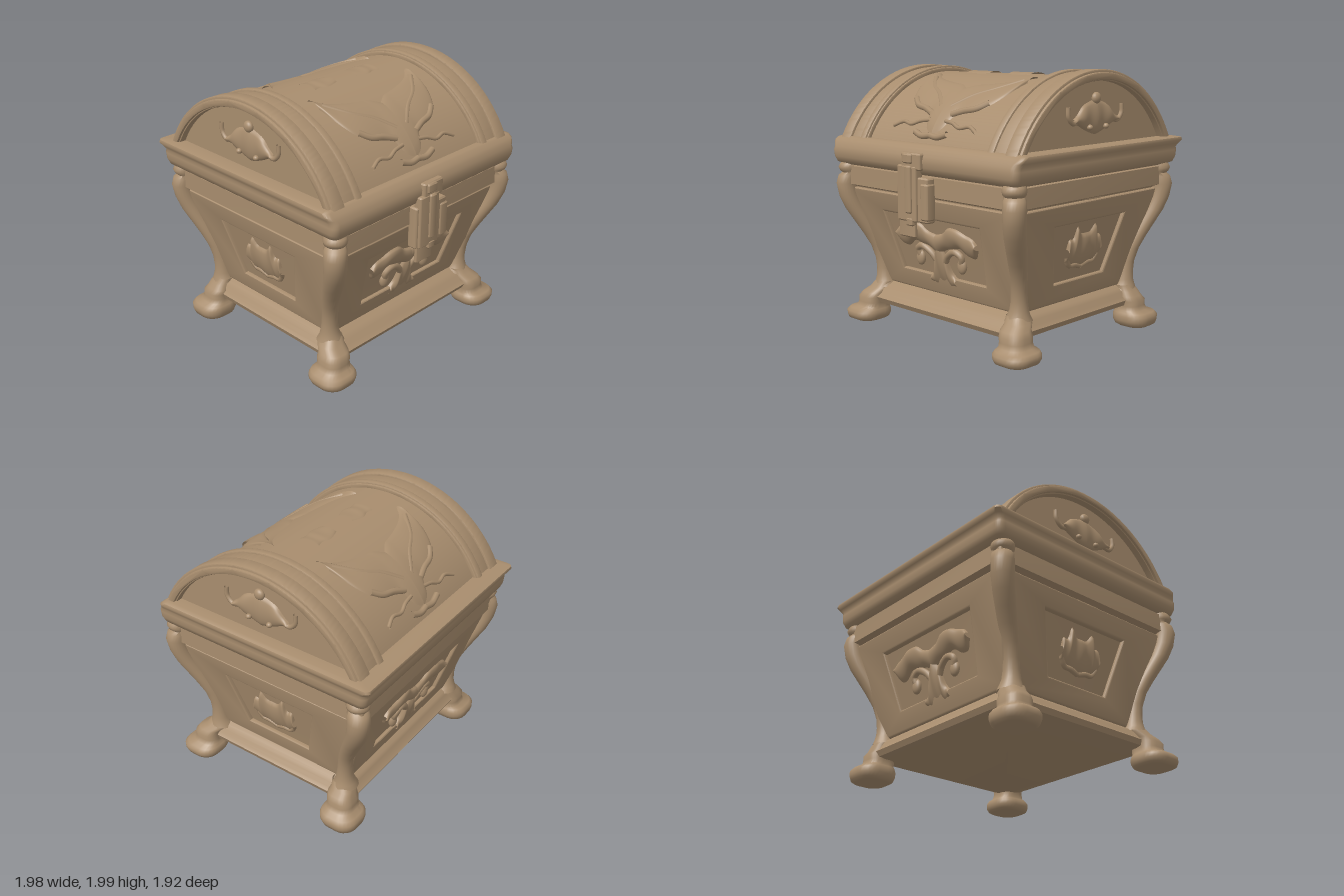
import * as THREE from 'three';
import { toCreasedNormals } from 'three/addons/utils/BufferGeometryUtils.js';

const material = new THREE.MeshStandardMaterial({ color: 0xa88d6e, side: THREE.DoubleSide });
const UP = new THREE.Vector3(0, 1, 0);
const SIDES = [-1, 1];

function add(parent, name, geometry) {
  const mesh = new THREE.Mesh(geometry, material);
  mesh.name = name;
  parent.add(mesh);
  return mesh;
}

// Stacked rounded rectangles: sections are [y, halfX, halfZ, centreX, centreZ, cornerRadius]
function loft(sections, { crease = 0.7, bottom = false, top = false } = {}) {
  const pos = [], idx = [], arc = 6, n = 4 * (arc + 1);
  for (const [y, hx, hz, cx, cz, r] of sections) {
    for (let k = 0; k < 4; k++) for (let j = 0; j <= arc; j++) {
      const t = (k + j / arc) * Math.PI / 2;
      const sx = k === 0 || k === 3 ? 1 : -1, sz = k < 2 ? 1 : -1;
      pos.push(cx + sx * (hx - r) + r * Math.cos(t), y, cz + sz * (hz - r) + r * Math.sin(t));
    }
  }
  for (let i = 0; i < sections.length - 1; i++) for (let j = 0; j < n; j++) {
    const a = i * n + j, b = i * n + (j + 1) % n;
    idx.push(a, a + n, b, b, a + n, b + n);
  }
  const last = (sections.length - 1) * n;
  for (let j = 1; j < n - 1; j++) {
    if (bottom) idx.push(0, j, j + 1);
    if (top) idx.push(last, last + j + 1, last + j);
  }
  const g = new THREE.BufferGeometry();
  g.setAttribute('position', new THREE.Float32BufferAttribute(pos, 3));
  g.setIndex(idx);
  return toCreasedNormals(g, crease);
}

// Cushioned carving on a mapped surface: rows are [a, low, high]
function relief(map, rows, height) {
  const pts = new THREE.CatmullRomCurve3(rows.map(r => new THREE.Vector3(...r))).getPoints(28);
  const pos = [], idx = [], m = 14;
  pts.forEach(({ x, y, z }, i) => {
    for (let j = 0; j <= m; j++) {
      const u = j / m;
      const h = height * Math.sqrt(Math.max(0, Math.sin(Math.PI * u))) * (0.92 + 0.08 * Math.cos(i * 0.45)) - 0.004;
      pos.push(...map(x, y + (z - y) * u, h).toArray());
      if (i < pts.length - 1 && j < m) {
        const a = i * (m + 1) + j, b = a + m + 1;
        idx.push(a, b, a + 1, a + 1, b, b + 1);
      }
    }
  });
  const g = new THREE.BufferGeometry();
  g.setAttribute('position', new THREE.Float32BufferAttribute(pos, 3));
  g.setIndex(idx);
  g.computeVertexNormals();
  return g;
}

// Rounded strand lying on a mapped surface, sunk by the given depth
function strand(map, pts, radius, sink = 0) {
  const curve = new THREE.CatmullRomCurve3(pts.map(([a, b]) => map(a, b, radius * 0.3 - sink)));
  return new THREE.TubeGeometry(curve, 20, radius, 8);
}

function bead(parent, name, p, sx, sy, sz) {
  const mesh = add(parent, name, new THREE.SphereGeometry(1, 18, 12));
  mesh.position.copy(p);
  mesh.scale.set(sx, sy, sz);
}

// Surface maps (a across, b up, h outward); turn counts quarter turns from the front
const wall = (turn, depth) => (a, b, h) =>
  new THREE.Vector3(a, b, depth(b) + h).applyAxisAngle(UP, turn * Math.PI / 2);
const LID_Y = 1.035, LID_R = 0.905, LID_BASE = 1.42 - LID_Y;
const vault = turn => (a, z, h) => {
  const t = Math.asin(z / LID_R), r = LID_R + h;
  return new THREE.Vector3(a, LID_Y + r * Math.cos(t), r * Math.sin(t)).applyAxisAngle(UP, turn * Math.PI / 2);
};
const mirrored = (map, s) => (a, b, h) => map(s * a, b, h);
const frontDepth = y => 0.62 + 0.3 * (y - 0.35);
const sideDepth = y => 0.72 + 0.233 * (y - 0.35);

// Tapered frame: half widths at its top and bottom, outside and inside
function panelFrame(map, outTop, outBottom, inTop, inBottom) {
  const quad = (C, t, b, y1, y0) =>
    new C([[-b, y0], [b, y0], [t, y1], [-t, y1]].map(p => new THREE.Vector2(...p)));
  const shape = quad(THREE.Shape, outTop, outBottom, 1.06, 0.33);
  shape.holes.push(quad(THREE.Path, inTop, inBottom, 0.93, 0.46));
  const g = new THREE.ExtrudeGeometry(shape, {
    depth: 0.03, bevelSize: 0.02, bevelThickness: 0.018, bevelOffset: -0.005, bevelSegments: 3 });
  const p = g.attributes.position;
  for (let i = 0; i < p.count; i++) {
    const v = map(p.getX(i), p.getY(i), p.getZ(i) - 0.045);
    p.setXYZ(i, v.x, v.y, v.z);
  }
  return toCreasedNormals(g, 0.5);
}

// Hollow hoop around the barrel lid between x0 and x1
function hoop(r, x0, x1, inner) {
  const a = Math.asin(LID_BASE / r), b = Math.asin(LID_BASE / inner);
  const shape = new THREE.Shape();
  shape.absarc(0, 0, r, a, Math.PI - a, false);
  shape.absarc(0, 0, inner, Math.PI - b, b, true);
  shape.closePath();
  const g = new THREE.ExtrudeGeometry(shape, {
    depth: x1 - x0 - 0.02, bevelSize: 0.01, bevelThickness: 0.01, bevelOffset: -0.01,
    bevelSegments: 2, curveSegments: 56 });
  g.rotateY(Math.PI / 2).translate(x0 + 0.01, LID_Y, 0);
  return toCreasedNormals(g, 0.5);
}

export function createModel() {
  const chest = new THREE.Group();
  chest.name = 'chest';

  // Tapered body, upper rail and flared skirt
  add(chest, 'body', loft([[0.3, 0.68, 0.58, 0, 0, 0.02], [0.35, 0.69, 0.59, 0, 0, 0.02],
    [1.08, 0.86, 0.81, 0, 0, 0.02], [1.1, 0.915, 0.865, 0, 0, 0.02], [1.24, 0.915, 0.865, 0, 0, 0.02],
    [1.245, 0.88, 0.83, 0, 0, 0.02], [1.26, 0.88, 0.83, 0, 0, 0.02]]));
  add(chest, 'skirt', loft([[0.16, 0.75, 0.65, 0, 0.03, 0.04], [0.17, 0.79, 0.7, 0, 0.03, 0.05],
    [0.21, 0.805, 0.72, 0, 0.03, 0.05], [0.235, 0.78, 0.69, 0, 0.025, 0.05], [0.27, 0.765, 0.67, 0, 0.02, 0.05],
    [0.295, 0.74, 0.645, 0, 0.01, 0.05], [0.325, 0.69, 0.59, 0, 0.005, 0.04]], { bottom: true }));

  // Curved corner posts [y, outer x, outer z, radius], with collars and flat scroll feet
  const post = [[0.28, 0.81, 0.7, 0.1], [0.32, 0.795, 0.685, 0.08], [0.36, 0.787, 0.672, 0.068], [0.42, 0.783, 0.668, 0.06],
    [0.5, 0.787, 0.675, 0.058], [0.6, 0.81, 0.7, 0.06], [0.7, 0.845, 0.75, 0.066], [0.8, 0.885, 0.805, 0.072],
    [0.9, 0.925, 0.86, 0.077], [1.0, 0.953, 0.897, 0.08], [1.1, 0.967, 0.912, 0.082], [1.16, 0.955, 0.9, 0.08],
    [1.185, 0.93, 0.875, 0.07], [1.2, 0.945, 0.89, 0.08], [1.225, 0.955, 0.9, 0.085], [1.25, 0.945, 0.89, 0.08],
    [1.27, 0.93, 0.87, 0.07]];
  const foot = [[0, 0.12, 0.8, 0.68], [0.015, 0.143, 0.8, 0.68], [0.05, 0.155, 0.8, 0.677],
    [0.085, 0.155, 0.8, 0.677], [0.11, 0.14, 0.795, 0.67], [0.125, 0.112, 0.775, 0.657],
    [0.16, 0.105, 0.765, 0.652], [0.2, 0.107, 0.765, 0.652], [0.235, 0.098, 0.75, 0.637],
    [0.27, 0.088, 0.73, 0.615], [0.32, 0.075, 0.71, 0.595]];
  for (const sx of SIDES) for (const sz of SIDES) {
    add(chest, 'cornerPost', loft(post.map(([y, x, z, r]) =>
      [y, r, r, sx * (x - r), sz * (z - r) + 0.01, r]), { crease: 1.2 }));
    const raise = sz > 0 ? 0.02 : 0;
    add(chest, 'foot', loft(foot.map(([y, r, x, z]) =>
      [Math.max(y, y * 0.8 + raise), r, r, sx * x, sz * z + (y < 0.24 ? 0.045 : 0.02), r * 0.75]),
    { crease: 1.0, bottom: true }));
  }

  // Framed panels with carved leaves (front, back) and shells (sides)
  for (let turn = 0; turn < 4; turn++) {
    const long = turn % 2 === 0;
    const map = wall(turn, long ? frontDepth : sideDepth);
    add(chest, 'panelFrame', long ? panelFrame(map, 0.83, 0.68, 0.52, 0.45) : panelFrame(map, 0.78, 0.58, 0.41, 0.29));
    for (const s of SIDES) {
      const half = mirrored((a, b, h) => map(a, b, h - 0.028), s);
      if (long) {
        add(chest, 'leafWing', relief(half, [[0, 0.64, 0.8], [0.08, 0.69, 0.82], [0.15, 0.7, 0.87],
          [0.24, 0.72, 0.87], [0.32, 0.67, 0.84], [0.38, 0.67, 0.82], [0.42, 0.74, 0.78]], 0.045));
        add(chest, 'leafStem', relief(half, [[0, 0.38, 0.76], [0.05, 0.38, 0.66], [0.09, 0.385, 0.52],
          [0.13, 0.41, 0.47]], 0.05));
        add(chest, 'leafCurl', strand(half, [[0.03, 0.57], [0.09, 0.65], [0.17, 0.69], [0.23, 0.66], [0.22, 0.61]], 0.026));
        bead(chest, 'leafBud', half(0.22, 0.59, 0.01), 0.042, 0.06, 0.03);
      } else {
        add(chest, 'shell', relief(half, [[0, 0.55, 0.82], [0.05, 0.56, 0.825], [0.1, 0.575, 0.88],
          [0.13, 0.58, 0.79], [0.17, 0.61, 0.79], [0.185, 0.65, 0.72]], 0.04));
        add(chest, 'shellRim', strand(half, [[0, 0.565], [0.07, 0.585], [0.13, 0.59], [0.17, 0.64]], 0.02));
      }
    }
  }

  // Rounded lid rim with a lip that overhangs at the sides and back
  add(chest, 'lidRim', loft([[1.25, 0.87, 0.82, 0, 0, 0.03], [1.25, 0.91, 0.86, 0, 0, 0.04], [1.27, 0.95, 0.9, 0, 0, 0.05],
    [1.31, 0.965, 0.915, 0, 0, 0.05], [1.36, 0.968, 0.92, 0, 0, 0.05], [1.385, 0.965, 0.915, 0, -0.003, 0.05],
    [1.41, 0.978, 0.92, 0, -0.018, 0.05], [1.435, 0.99, 0.92, 0, -0.037, 0.04],
    [1.455, 0.985, 0.905, 0, -0.047, 0.04], [1.465, 0.95, 0.87, 0, -0.025, 0.03],
    [1.465, 0.87, 0.8, 0, 0, 0.03]], { crease: 1.0 }));

  // Barrel lid with stepped end bands
  const a = Math.asin(LID_BASE / LID_R);
  add(chest, 'lidBarrel', new THREE.CylinderGeometry(LID_R, LID_R, 1.74, 72, 1, false, a, Math.PI - 2 * a)
    .rotateZ(Math.PI / 2).translate(0, LID_Y, 0));
  for (const s of SIDES) {
    const band = (name, r, x0, x1, inner) => add(chest, name, hoop(r, s > 0 ? x0 : -x1, s > 0 ? x1 : -x0, inner));
    band('lidBand', 0.935, 0.63, 0.84, 0.89);
    band('lidBead', 0.95, 0.64, 0.7, 0.91);
    band('lidEndHoop', 0.955, 0.81, 0.92, 0.875);
    band('lidEndLip', 0.935, 0.9, 0.94, 0.885);

    // Crown carving on the recessed end of the lid
    const end = wall(s, () => 0.87);
    for (const m of SIDES) {
      const half = mirrored(end, m);
      add(chest, 'crown', relief(half, [[0, 1.53, 1.79], [0.07, 1.55, 1.77], [0.14, 1.58, 1.74],
        [0.2, 1.61, 1.68], [0.24, 1.62, 1.65]], 0.04));
      add(chest, 'crownArm', strand(half, [[0.18, 1.64], [0.25, 1.625], [0.295, 1.67], [0.3, 1.74]], 0.018));
      bead(chest, 'crownStud', half(0.09, 1.59, 0.03), 0.022, 0.02, 0.022);
    }
    bead(chest, 'crownKnob', end(0, 1.79, 0.01), 0.03, 0.042, 0.042);
  }

  // Winged carvings on both slopes of the lid
  for (const turn of [0, 2]) for (const s of SIDES) {
    const half = mirrored(vault(turn), s);
    add(chest, 'wing', relief(half, [[0, 0.4, 0.77], [0.08, 0.35, 0.74], [0.14, 0.34, 0.66], [0.24, 0.32, 0.64],
      [0.34, 0.29, 0.61], [0.42, 0.25, 0.55], [0.475, 0.2, 0.44], [0.5, 0.18, 0.3]], 0.025));
    add(chest, 'wingVein', strand(half, [[0.05, 0.6], [0.18, 0.5], [0.32, 0.42], [0.46, 0.28]], 0.025, 0.008));
    add(chest, 'wingLobe', strand(half, [[0.1, 0.65], [0.2, 0.62], [0.3, 0.6], [0.38, 0.55]], 0.025, 0.005));
    add(chest, 'feeler', strand(half, [[0.08, 0.69], [0.17, 0.7], [0.25, 0.72], [0.34, 0.71], [0.43, 0.735]], 0.015));
    add(chest, 'wingBase', strand(half, [[0, 0.765], [0.08, 0.77], [0.165, 0.755]], 0.024));
  }
  for (const s of SIDES) {
    add(chest, 'crestCarving', relief(mirrored(vault(0), s), [[0.1, -0.07, 0.07], [0.2, -0.1, 0.1],
      [0.27, -0.08, 0.08], [0.33, -0.09, 0.09]], 0.018));
  }

  // Latch: plates given as centre and size
  const latch = new THREE.Group();
  latch.name = 'latch';
  chest.add(latch);
  for (const [name, x, y, z, w, h, d] of [
    ['latchBackPlate', -0.02, 1.08, 0.89, 0.32, 0.32, 0.08], ['latchStep', 0.11, 1.07, 0.9, 0.08, 0.26, 0.08],
    ['latchHinge', -0.02, 1.35, 0.915, 0.2, 0.12, 0.06], ['latchHasp', -0.06, 1.12, 0.915, 0.2, 0.4, 0.07],
    ['latchTongue', -0.08, 0.87, 0.915, 0.17, 0.14, 0.03], ['latchBar', -0.035, 1.15, 0.945, 0.07, 0.34, 0.04],
    ['latchPin', -0.045, 1.37, 0.94, 0.1, 0.07, 0.04], ['latchCatch', -0.03, 0.92, 0.93, 0.07, 0.06, 0.05]]) {
    add(latch, name, loft([[-h / 2, w / 2 - 0.01, d / 2 - 0.01, 0, 0, 0.004], [-h / 2 + 0.01, w / 2, d / 2, 0, 0, 0.014],
      [h / 2 - 0.01, w / 2, d / 2, 0, 0, 0.014], [h / 2, w / 2 - 0.01, d / 2 - 0.01, 0, 0, 0.004]],
    { bottom: true, top: true })).position.set(x, y, z);
  }
  return chest;
}
